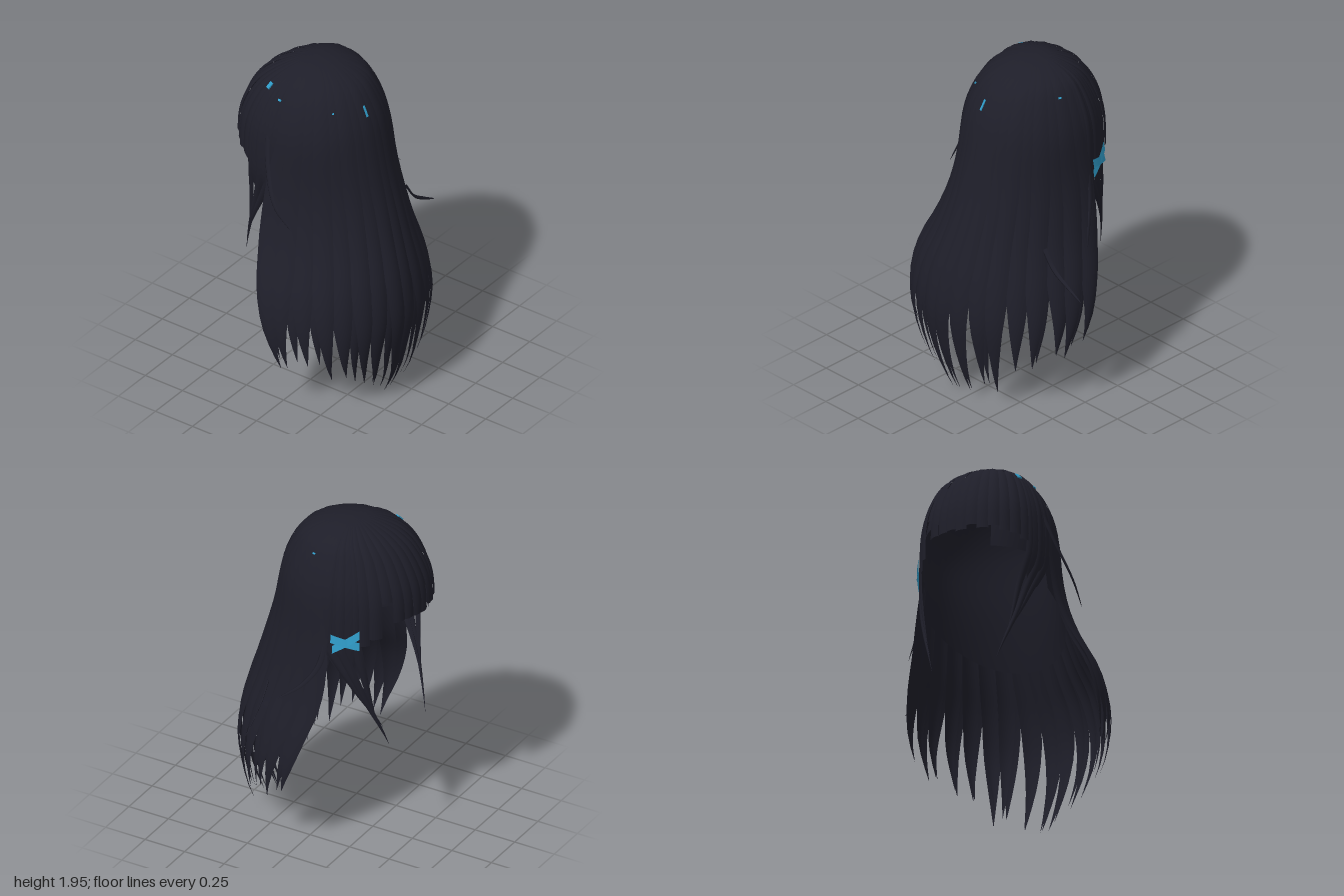
import * as THREE from 'three';

const hair = new THREE.MeshStandardMaterial({ name: 'darkHair', color: 0x1e1e29, side: THREE.DoubleSide });
const blue = new THREE.MeshStandardMaterial({ name: 'blueRibbon', color: 0x2f9ac6, side: THREE.DoubleSide });
const rad = THREE.MathUtils.degToRad;

// Half-ring sections of the hair volume: [y, half width, centre x, z at the sides, z at the far middle]
const BACK = [
  [2.0, 0, 0, -0.13, -0.13], [1.985, 0.12, 0, -0.13, 0.0], [1.93, 0.23, 0, -0.13, 0.125],
  [1.85, 0.295, -0.01, -0.13, 0.2], [1.73, 0.347, -0.015, -0.13, 0.26], [1.6, 0.375, -0.017, -0.13, 0.293],
  [1.4, 0.392, -0.02, -0.16, 0.333], [1.2, 0.42, -0.025, -0.17, 0.385], [1.0, 0.47, -0.04, -0.15, 0.445],
  [0.8, 0.55, -0.06, -0.11, 0.51], [0.6, 0.59, -0.065, -0.07, 0.54], [0.4, 0.57, -0.065, -0.02, 0.515],
  [0.2, 0.5, -0.05, 0, 0.465], [0.0, 0.42, -0.05, 0, 0.37],
];
const FRONT = [
  [2.0, 0, 0, -0.13, -0.13], [1.985, 0.12, 0, -0.13, -0.23], [1.93, 0.23, 0, -0.13, -0.34],
  [1.85, 0.295, -0.01, -0.13, -0.43], [1.73, 0.347, -0.015, -0.13, -0.5], [1.6, 0.372, -0.017, -0.13, -0.535],
  [1.4, 0.375, -0.015, -0.13, -0.54], [1.2, 0.35, 0, -0.13, -0.54], [1.0, 0.33, 0, -0.13, -0.54],
  [0.8, 0.3, 0, -0.13, -0.55], [0.6, 0.28, 0, -0.13, -0.55],
];
const makeSide = (rows, dir, shift, bulge) => {
  const curve = pick => new THREE.CatmullRomCurve3(rows.map(pick), false, 'catmullrom', 0.5);
  return {
    n: rows.length - 1, dir, shift, bulge,
    size: curve(r => new THREE.Vector3(r[1], r[0], r[4])),
    mid: curve(r => new THREE.Vector3(r[2], r[0], r[3])),
  };
};
const back = makeSide(BACK, 1, 0, 0.003), front = makeSide(FRONT, -1, -0.04, 0.007);
const rowAt = y => 5 + (1.6 - y) / 0.2; // row index for heights at or below 1.6

// Point on the hair volume at a row index and an angle (0 = middle, +-90 = sides)
function surface(side, row, deg, lift = 0, scale = 1) {
  const u = Math.min(row / side.n, 1), a = rad(deg), grow = Math.min(1, row / 2);
  const s = side.size.getPoint(u), m = side.mid.getPoint(u);
  return new THREE.Vector3(
    m.x + (s.x * scale + lift * grow) * Math.sin(a) + side.shift * grow * Math.cos(a),
    s.y - (1 - scale) * 0.3,
    m.z + ((s.z - m.z) * scale + side.dir * lift * grow) * Math.cos(a));
}

// Grid of points f(u, v) as one smooth sheet
function sheet(rows, cols, f) {
  const pos = [], idx = [];
  for (let i = 0; i <= rows; i++) for (let j = 0; j <= cols; j++) {
    pos.push(...f(i / rows, j / cols).toArray());
    if (i < rows && j < cols) {
      const p = i * (cols + 1) + j, q = p + cols + 1;
      idx.push(p, q, p + 1, p + 1, q, q + 1);
    }
  }
  const g = new THREE.BufferGeometry();
  g.setAttribute('position', new THREE.Float32BufferAttribute(pos, 3));
  g.setIndex(idx);
  g.computeVertexNormals();
  return g;
}

// One lock lying on the hair volume; it narrows to a point below taperY unless blunt
function strand(side, deg, half, tip, o = {}) {
  const { start = 0, taperY = 1.05, drift = 0, lift = 0, scale = 1, blunt = false } = o;
  const r0 = rowAt(taperY), r1 = rowAt(tip);
  return sheet(28, 6, (u, v) => {
    const row = start + (r1 - start) * u;
    const k = Math.max(0, (row - r0) / (r1 - r0));
    const w = blunt ? 1 : 1 - k ** 1.7, e = v * 2 - 1;
    // locks lie flat on the head and grow rounder towards the ends
    const round = side.bulge + 0.01 * THREE.MathUtils.smoothstep(row, 5.5, 8.5);
    return surface(side, row, deg + drift * k + e * half * w, lift + round * (1 - e * e) * w, scale);
  });
}

// Thin free lock along a curve
function wisp(points, width) {
  const c = new THREE.CatmullRomCurve3(points.map(p => new THREE.Vector3(...p)));
  return sheet(18, 6, (u, v) => {
    const p = c.getPoint(u), t = c.getTangent(u);
    const n = new THREE.Vector3(p.x, 0, p.z + 0.13).normalize();
    const b = n.clone().cross(t).normalize();
    const r = width * Math.sqrt(Math.max(0, 1 - u)), a = v * Math.PI * 2;
    return p.addScaledVector(b, Math.cos(a) * r).addScaledVector(n, Math.sin(a) * r * 0.4);
  });
}

export function createModel() {
  const group = new THREE.Group();
  const add = (name, geo, mat = hair) => {
    const m = new THREE.Mesh(geo, mat);
    m.name = name;
    group.add(m);
    return m;
  };
  let seed = 7;
  const rnd = () => (seed = (seed * 16807) % 2147483647) / 2147483647;

  // Scalp under the long hair, lower at the nape, and under the fringe
  add('scalpBack', sheet(24, 28, (u, v) => {
    const deg = v * 180 - 90;
    return surface(back, u * rowAt(1.25 - 0.2 * Math.cos(rad(deg))), deg, 0, 0.92);
  }));
  add('scalpFront', sheet(16, 28, (u, v) => surface(front, u * rowAt(1.62), v * 180 - 90, 0, 0.95)));

  // Long outer hair
  const N = 17;
  for (let i = 0; i < N; i++) {
    const deg = -85 + 170 * i / (N - 1);
    const tip = 0.04 + 0.37 * Math.abs(Math.sin(rad(deg))) ** 1.4 + (rnd() - 0.5) * 0.14;
    add('longLock', strand(back, deg, 6.6, Math.max(0.01, tip), { drift: (rnd() - 0.5) * 8, lift: (i % 2) * 0.003 }));
  }
  // Inner hair
  for (let i = 0; i < 15; i++) {
    const deg = -80 + 160 * i / 14;
    const tip = 0.01 + 0.4 * Math.abs(Math.sin(rad(deg))) + rnd() * 0.06;
    add('innerLock', strand(back, deg, 5.6, tip, { start: 5, scale: 0.95, drift: (rnd() - 0.5) * 8 }));
  }

  // Blunt fringe with uneven ends and one notch
  const ends = [1.45, 1.47, 1.48, 1.5, 1.49, 1.51, 1.49, 1.5, 1.5, 1.5, 1.64, 1.42, 1.38];
  ends.forEach((y, i) => add('fringeLock',
    strand(front, -57 + 9.5 * i, 5, y, { blunt: true, lift: (i % 2) * 0.005 })));
  add('underFringe', sheet(4, 10, (u, v) => surface(front, 4 + u * (rowAt(1.41) - 4), -26 - v * 34, 0, 0.95)));

  // Side hair in front of the ears: short cover, then thin locks sweeping forward
  for (const s of [-1, 1]) {
    add('sideCover', strand(front, s * 82, 9, 1.22, { taperY: 1.42, drift: -s * 4 }));
    add('sideCover', strand(front, s * 68, 8, 1.22, { taperY: 1.42, drift: -s * 2 }));
    add('sideLock', strand(front, s * 83, 4, 0.84, { taperY: 1.35, drift: -s * 38, lift: 0.003 }));
    add('sideLock', strand(front, s * 74, 4, 0.72, { taperY: 1.35, drift: -s * 33, lift: 0.004 }));
    add('sideLock', strand(front, s * 63, 4, 0.9, { taperY: 1.4, drift: -s * 13 }));
  }

  // Stray wisps
  add('wisp', wisp([[0.36, 1.42, -0.17], [0.4, 1.25, -0.14], [0.46, 1.14, -0.07], [0.55, 1.07, 0.03]], 0.02));
  add('wisp', wisp([[0.38, 1.05, 0.19], [0.45, 0.95, 0.19], [0.55, 0.88, 0.185], [0.65, 0.82, 0.18]], 0.015));
  add('wisp', wisp([[-0.37, 1.7, -0.2], [-0.43, 1.52, -0.16], [-0.5, 1.3, -0.06], [-0.5, 1.18, 0.05]], 0.02));

  // Crossed ribbon on the left side, lower edges standing off a little
  const bar = (y0, y1, a0, a1, lift) => sheet(12, 2, (u, v) =>
    surface(front, rowAt(y0 + (y1 - y0) * u + (0.5 - v) * 0.046), a0 + (a1 - a0) * u, lift + v * 0.009));
  add('ribbonCross', bar(1.455, 1.355, 60, 80, 0.011), blue);
  add('ribbonCross', bar(1.385, 1.425, 60, 81, 0.013), blue);

  // Small blue clips showing through the hair
  const clip = (side, row, deg, w, h) => {
    const { x, y, z } = surface(side, row, deg, side.bulge + 0.002);
    const m = add('clip', new THREE.BoxGeometry(w, h, 0.008), blue);
    m.position.set(x, y, z);
    m.lookAt(x * 2, y + (y - 1.6), z * 2 + 0.13);
  };
  clip(back, 3.45, -8, 0.012, 0.065);
  clip(back, 2.8, 73, 0.018, 0.01);
  clip(front, 2.95, -84, 0.018, 0.012);
  clip(back, 3.2, -42, 0.01, 0.01);
  clip(front, 2.55, -61, 0.025, 0.04);
  return group;
}
